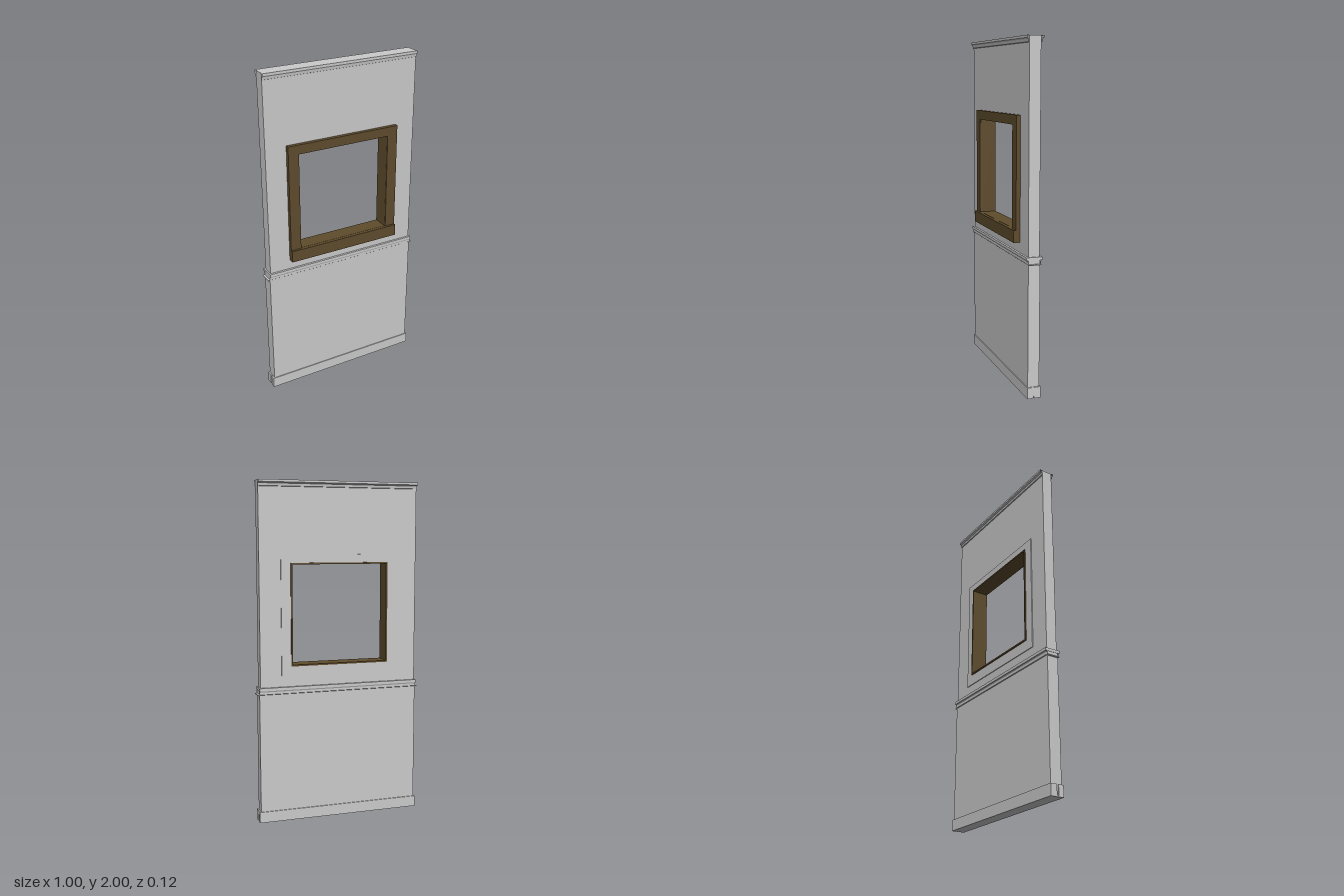
import * as THREE from 'three';

const grey = new THREE.MeshStandardMaterial({ color: 0xcccccc, flatShading: true });
const thinGrey = new THREE.MeshStandardMaterial({ color: 0xcccccc, flatShading: true, side: THREE.DoubleSide });
const wood = new THREE.MeshStandardMaterial({ color: 0x5f4c2d, flatShading: true });

const FRONT = 0.022, BACK = -0.044;          // wall faces
const OPEN = [-0.29, 0.29, 0.94, 1.525];     // window opening
const CASING = [-0.355, 0.355, 0.87, 1.58];  // outer edge of the trim

export function createModel() {
  const model = new THREE.Group();

  const add = (name, geometry, material) => {
    const mesh = new THREE.Mesh(geometry, material);
    mesh.name = name;
    model.add(mesh);
    return mesh;
  };

  // Box given by its limits on each axis
  const box = (name, x0, x1, y0, y1, z0, z1, material = grey) =>
    add(name, new THREE.BoxGeometry(x1 - x0, y1 - y0, z1 - z0)
      .translate((x0 + x1) / 2, (y0 + y1) / 2, (z0 + z1) / 2), material);

  // Rectangular plate with a rectangular hole, between two depths
  const corners = ([x0, x1, y0, y1]) =>
    [[x0, y0], [x1, y0], [x1, y1], [x0, y1]].map(p => new THREE.Vector2(...p));
  const ring = (name, outer, inner, z0, z1, material = grey) => {
    const shape = new THREE.Shape(corners(outer));
    shape.holes.push(new THREE.Path(corners(inner).reverse()));
    add(name, new THREE.ExtrudeGeometry(shape, { depth: z1 - z0, bevelEnabled: false })
      .translate(0, 0, z0), material);
  };

  // Open moulding strip: profile of [projection, y] swept along the wall
  const moulding = (name, profile, half, face, dir) => {
    const pos = [];
    for (let i = 0; i < profile.length - 1; i++) {
      const [a, b] = [profile[i], profile[i + 1]];
      const p = ([d, y], x) => [x * dir, y, face + d * dir];
      pos.push(...p(a, -half), ...p(b, -half), ...p(b, half),
        ...p(a, -half), ...p(b, half), ...p(a, half));
    }
    const g = new THREE.BufferGeometry();
    g.setAttribute('position', new THREE.Float32BufferAttribute(pos, 3));
    g.computeVertexNormals();
    add(name, g, thinGrey);
  };

  // Wall, upper part pierced by the window
  ring('upperWall', [-0.482, 0.482, 0.79, 2], OPEN, BACK, FRONT);
  box('lowerWall', -0.488, 0.488, 0, 0.8, BACK - 0.001, FRONT + 0.002);

  // Chair rail with a sloping underside
  box('chairRail', -0.49, 0.49, 0.795, 0.812, -0.058, 0.035);

  // Cornice and lower rail mouldings on both faces
  for (const [side, face, dir] of [['front', FRONT, 1], ['back', BACK, -1]]) {
    const out = dir > 0 ? 0.013 : 0.016;
    moulding(side + 'Cornice',
      [[0, 2], [out, 2], [out, 1.987], [0.007, 1.98], [0.005, 1.965], [0, 1.963]], 0.484, face, dir);
    moulding(side + 'RailMoulding',
      [[0.01, 0.795], [0.006, 0.787], [0.006, 0.773], [0.002, 0.77]], 0.49, face, dir);
  }

  // Skirting, with a slim joint at the middle of each end
  box('skirting', -0.491, 0.491, 0, 0.065, -0.051, 0.029);
  for (const s of [-1, 1]) {
    const x0 = s > 0 ? 0.49 : -0.497, x1 = s > 0 ? 0.497 : -0.49;
    box('skirtingEndFront', x0, x1, 0, 0.065, -0.002, 0.029);
    box('skirtingEndBack', x0, x1, 0, 0.065, -0.051, -0.012);
    // Small ledge below the rail at each end
    box('railEndLedge', s > 0 ? 0.487 : -0.5, s > 0 ? 0.5 : -0.487, 0.768, 0.773, -0.05, 0.027);
  }

  // Window: wooden front casing, sill and lining, plain back casing
  const lip = 0.008;
  const liningOuter = [OPEN[0] - lip, OPEN[1] + lip, OPEN[2] - lip, OPEN[3] + lip];
  ring('windowCasing', CASING, OPEN, FRONT - 0.005, 0.046, wood);
  ring('windowLining', liningOuter, [OPEN[0] + 0.001, OPEN[1] - 0.001, OPEN[2] + 0.001, OPEN[3] - 0.001],
    -0.056, 0.04, wood);
  box('windowSill', CASING[0], CASING[1], CASING[2], OPEN[2], FRONT, 0.06, wood);
  ring('backCasing', CASING, liningOuter, BACK - 0.005, BACK + 0.005);

  return model;
}
